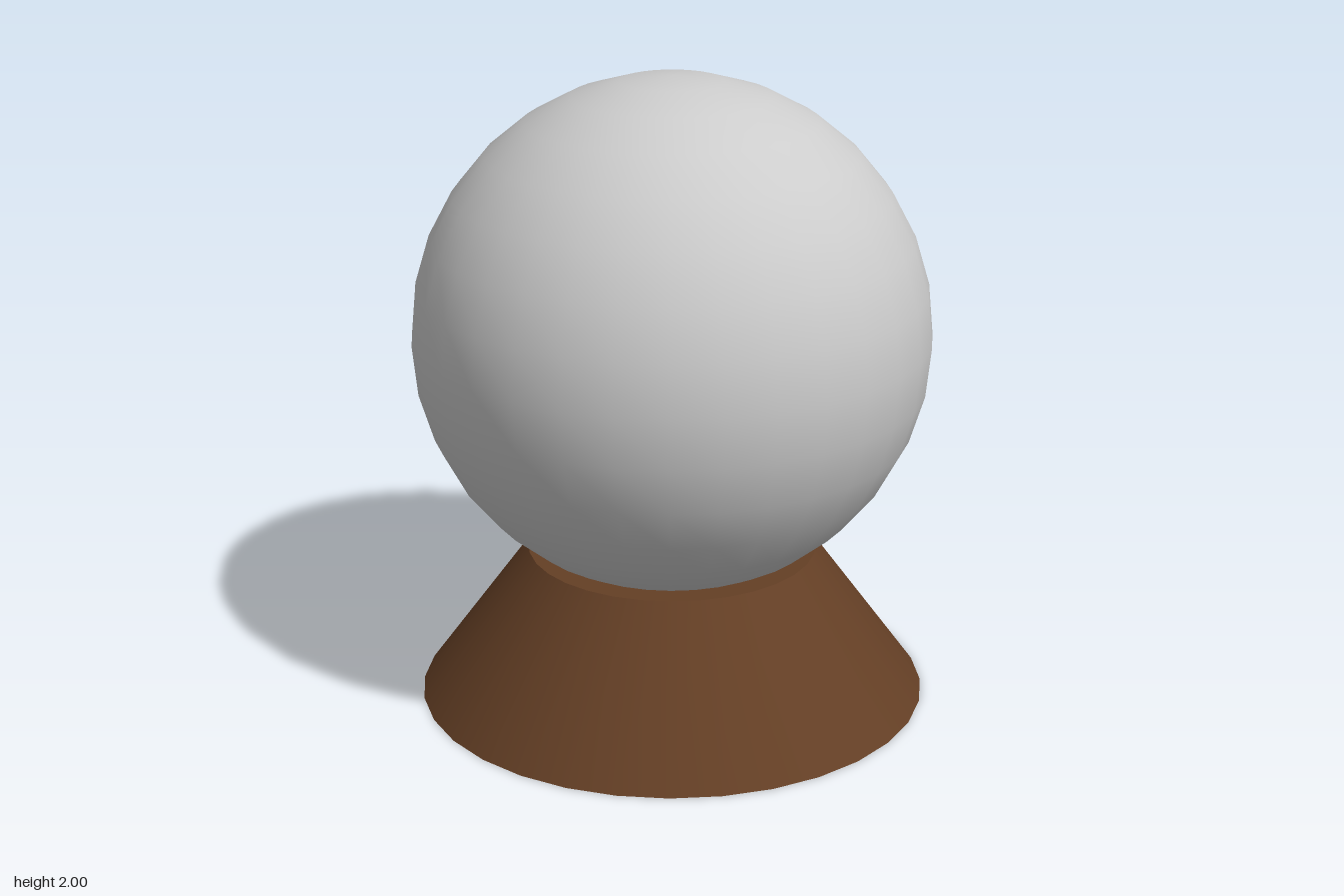
import * as THREE from 'three';

export function createModel() {
  const group = new THREE.Group();

  const glass = new THREE.MeshStandardMaterial({ color: 0xcccccc });
  glass.name = 'pale grey glass';
  const wood = new THREE.MeshStandardMaterial({ color: 0x643f25 });
  wood.name = 'brown wood';

  // Globe, sunk slightly into the stand
  const radius = 0.81;
  const globe = new THREE.Mesh(new THREE.SphereGeometry(radius, 32, 16), glass);
  globe.name = 'globe';
  globe.position.y = 2 - radius;
  group.add(globe);

  // Tapered stand with a flat top and bottom
  const height = 0.48;
  const stand = new THREE.Mesh(new THREE.CylinderGeometry(0.46, radius, height, 32), wood);
  stand.name = 'stand';
  stand.position.y = height / 2;
  group.add(stand);

  return group;
}
